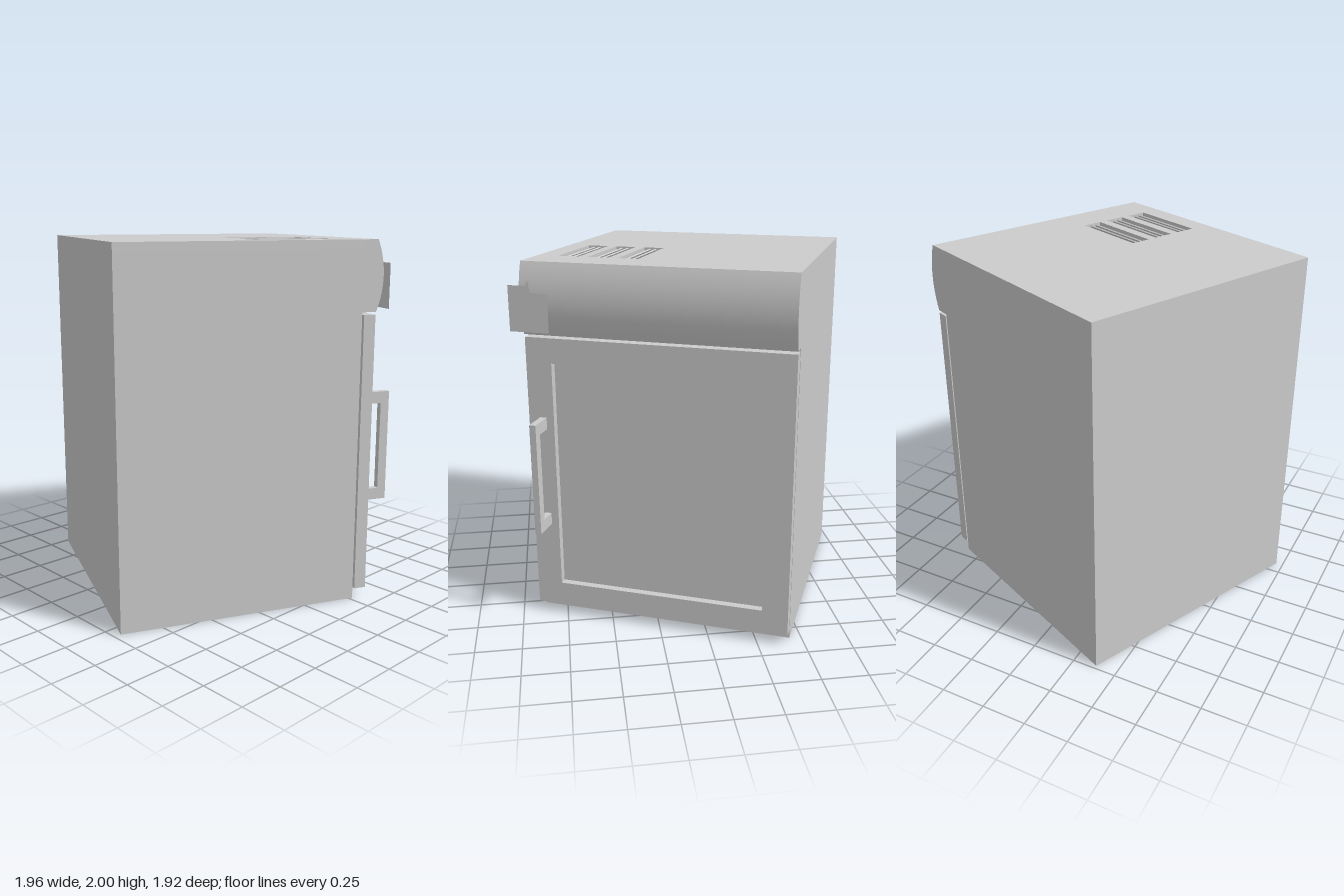
import * as THREE from 'three';
import { toCreasedNormals } from 'three/addons/utils/BufferGeometryUtils.js';

const W = 0.717;          // half width of the cabinet
const DEPTH = 1.346;      // cabinet depth up to the door gap
const FRONT = 1.426;      // door face
const mat = new THREE.MeshStandardMaterial({ color: 0xcccccc });
const thin = new THREE.MeshStandardMaterial({ color: 0xcccccc, side: THREE.DoubleSide });

function add(parent, name, geometry, material = mat) {
  const mesh = new THREE.Mesh(geometry, material);
  mesh.name = name;
  parent.add(mesh);
  return mesh;
}

// Box given by its minimum and maximum corners
function box(x0, x1, y0, y1, z0, z1) {
  return new THREE.BoxGeometry(x1 - x0, y1 - y0, z1 - z0)
    .translate((x0 + x1) / 2, (y0 + y1) / 2, (z0 + z1) / 2);
}

function rect(Type, x0, x1, y0, y1) {
  return new Type([[x0, y0], [x1, y0], [x1, y1], [x0, y1]].map(p => new THREE.Vector2(...p)));
}

function extrude(shape, depth) {
  return new THREE.ExtrudeGeometry(shape, { depth, bevelEnabled: false, curveSegments: 16 });
}

function polygon(points) {
  return new THREE.ShapeGeometry(new THREE.Shape(points.map(p => new THREE.Vector2(...p))));
}

export function createModel() {
  const model = new THREE.Group();
  model.name = 'undercounterFridge';

  // Local frame: back wall at z = 0, door towards +z
  const fridge = new THREE.Group();
  fridge.name = 'fridge';
  fridge.position.set(-0.325, 0, 0.67);
  fridge.rotation.y = Math.PI - 0.417;
  model.add(fridge);

  // Cabinet with a top plate pierced by three vents
  add(fridge, 'cabinet', box(-W, W, 0, 1.95, 0, DEPTH));
  const plate = rect(THREE.Shape, -W, W, -DEPTH, 0);
  const vents = [0, 1, 2].map(i => -0.271 - i * 0.166);
  for (const x of vents) plate.holes.push(rect(THREE.Path, x, x + 0.114, -1.208, -0.768));
  add(fridge, 'topPlate', extrude(plate, 0.05).rotateX(-Math.PI / 2)
    .scale(1, 1, 1).translate(0, 1.95, 0));

  // Slanted louvres inside each vent
  for (const x of vents) {
    for (let j = 0; j < 3; j++) {
      const slat = add(fridge, 'ventSlat', new THREE.BoxGeometry(0.008, 0.045, 0.44));
      slat.position.set(x + 0.022 + j * 0.033, 1.973, 0.988);
      slat.rotation.z = -0.6;
    }
  }

  // Bulging control panel above the door
  const profile = new THREE.Shape();
  profile.moveTo(DEPTH, 1.62);
  profile.lineTo(1.428, 1.62);
  profile.quadraticCurveTo(1.504, 1.81, 1.428, 2);
  profile.lineTo(DEPTH, 2);
  profile.closePath();
  const panel = extrude(profile, 2 * W).rotateY(-Math.PI / 2).translate(W, 0, 0);
  add(fridge, 'controlPanel', toCreasedNormals(panel, 0.6));

  // Door: seal, frame and recessed pane
  const door = new THREE.Group();
  door.name = 'door';
  fridge.add(door);
  add(door, 'doorSeal', box(-W + 0.03, W - 0.03, 0.04, 1.59, DEPTH, 1.36));
  const frame = rect(THREE.Shape, -W, W, 0.055, 1.605);
  frame.holes.push(rect(THREE.Path, -0.575, 0.575, 0.19, 1.47));
  add(door, 'doorFrame', extrude(frame, FRONT - 1.358).translate(0, 0, 1.358));
  add(door, 'doorPane', box(-0.6, 0.6, 0.17, 1.49, 1.362, 1.386));

  // Handle: upright bar on two arms
  const handle = new THREE.Group();
  handle.name = 'handle';
  door.add(handle);
  add(handle, 'handleBar', box(-0.652, -0.617, 0.55, 1.17, 1.518, 1.568));
  for (const y of [0.55, 1.105]) {
    add(handle, 'handleArm', box(-0.652, -0.617, y, y + 0.065, FRONT - 0.01, 1.518));
  }

  // Thin paper tags on the panel and on the door
  add(fridge, 'panelTag', polygon([
    [-0.777, 1.64], [-0.56, 1.64], [-0.56, 1.84], [-0.655, 1.845],
    [-0.665, 1.91], [-0.68, 1.88], [-0.777, 1.88],
  ]).translate(0, 0, 1.469), thin);
  add(door, 'doorTag', polygon([
    [0.378, 1.22], [0.625, 1.23], [0.637, 1.35], [0.637, 1.48], [0.53, 1.47],
    [0.52, 1.52], [0.505, 1.53], [0.5, 1.47], [0.378, 1.46],
  ]).translate(0, 0, 1.43), thin);

  return model;
}
